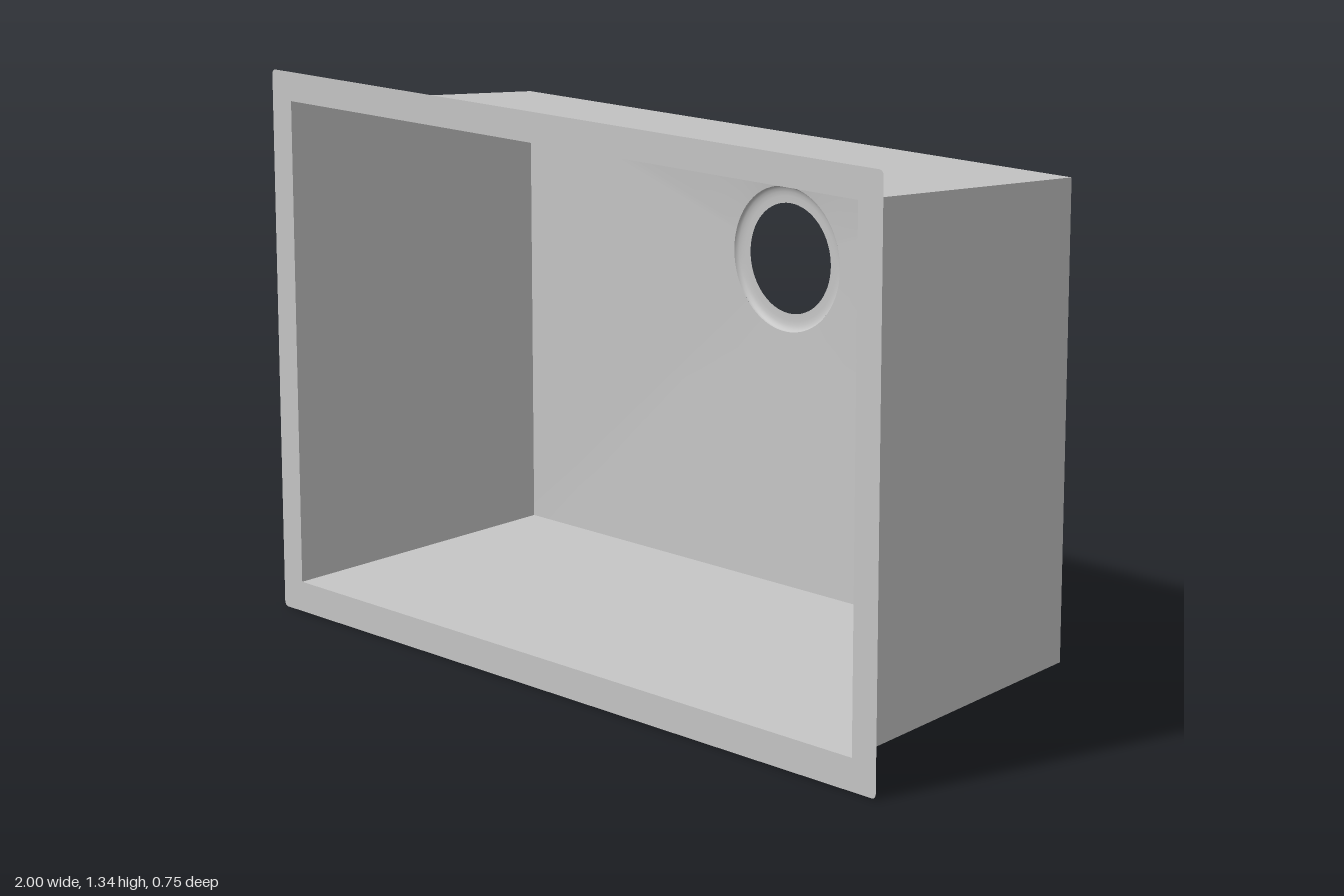
import * as THREE from 'three';

const CY = 0.912;          // drain centre height
const DRAIN_R = 0.175;
const FRONT = { x: 0.93, y0: 0.075, y1: 1.265, z: 0.377 };
const BACK = { x: 0.885, y0: 0.12, y1: 1.22, z: -0.345 };

const corners = (r) => [
  [r.x, r.y0, r.z], [r.x, r.y1, r.z], [-r.x, r.y1, r.z], [-r.x, r.y0, r.z],
];

function surface(points, index) {
  const g = new THREE.BufferGeometry();
  g.setAttribute('position', new THREE.Float32BufferAttribute(points.flat(), 3));
  g.setIndex(index);
  g.computeVertexNormals();
  return g;
}

// Flat mounting flange with slightly rounded corners
function rimGeometry() {
  const w = 1, h = 1.335, r = 0.012;
  const s = new THREE.Shape();
  s.moveTo(-w + r, 0).lineTo(w - r, 0).absarc(w - r, r, r, -Math.PI / 2, 0);
  s.lineTo(w, h - r).absarc(w - r, h - r, r, 0, Math.PI / 2);
  s.lineTo(-w + r, h).absarc(-w + r, h - r, r, Math.PI / 2, Math.PI);
  s.lineTo(-w, r).absarc(-w + r, r, r, Math.PI, Math.PI * 1.5);
  s.holes.push(new THREE.Path(corners(FRONT).map(([x, y]) => new THREE.Vector2(x, y))));
  return new THREE.ShapeGeometry(s, 4).translate(0, 0, FRONT.z);
}

// Sloping basin floor, lofted from the rectangle to the drain circle
function floorGeometry() {
  const angles = corners(BACK).map(([x, y]) => Math.atan2(y - CY, x));
  for (let i = 0; i < 64; i++) angles.push(-Math.PI + (i / 64) * Math.PI * 2);
  angles.sort((a, b) => a - b);
  const n = angles.length, rows = 4, points = [], index = [];
  for (let j = 0; j <= rows; j++) {
    for (const a of angles) {
      const c = Math.cos(a), s = Math.sin(a);
      const edge = Math.min(
        BACK.x / Math.max(Math.abs(c), 1e-6),
        (s > 0 ? BACK.y1 - CY : CY - BACK.y0) / Math.max(Math.abs(s), 1e-6));
      const t = j / rows, d = edge + (DRAIN_R - edge) * t;
      points.push([c * d, CY + s * d, BACK.z - 0.019 * t]);
    }
  }
  for (let j = 0; j < rows; j++) {
    for (let i = 0; i < n; i++) {
      const k = (i + 1) % n, a = j * n + i, b = j * n + k;
      index.push(a, b, b + n, a, b + n, a + n);
    }
  }
  return surface(points, index);
}

// Pressed drain seat with an open hole
function drainGeometry() {
  const profile = [[DRAIN_R, -0.364], [0.173, -0.369], [0.168, -0.373], [0.16, -0.3755],
    [0.15, -0.377], [0.133, -0.377]].map(([r, z]) => new THREE.Vector2(r, z));
  return new THREE.LatheGeometry(profile, 64).rotateX(Math.PI / 2).translate(0, CY, 0);
}

export function createModel() {
  const steel = new THREE.MeshStandardMaterial({ color: 0xc4c4c4, side: THREE.DoubleSide });
  steel.name = 'brushed steel';
  const model = new THREE.Group();
  model.name = 'sink';
  const add = (name, geometry) => {
    const mesh = new THREE.Mesh(geometry, steel);
    mesh.name = name;
    model.add(mesh);
  };

  add('rim', rimGeometry());
  // Four tapering walls, facing into the basin
  const f = corners(FRONT), b = corners(BACK);
  ['leftWall', 'topWall', 'rightWall', 'bottomWall'].forEach((name, i) => {
    const k = (i + 1) % 4;
    add(name, surface([f[i], f[k], b[k], b[i]], [0, 1, 2, 0, 2, 3]));
  });
  add('basinFloor', floorGeometry());
  add('drainSeat', drainGeometry());
  return model;
}
